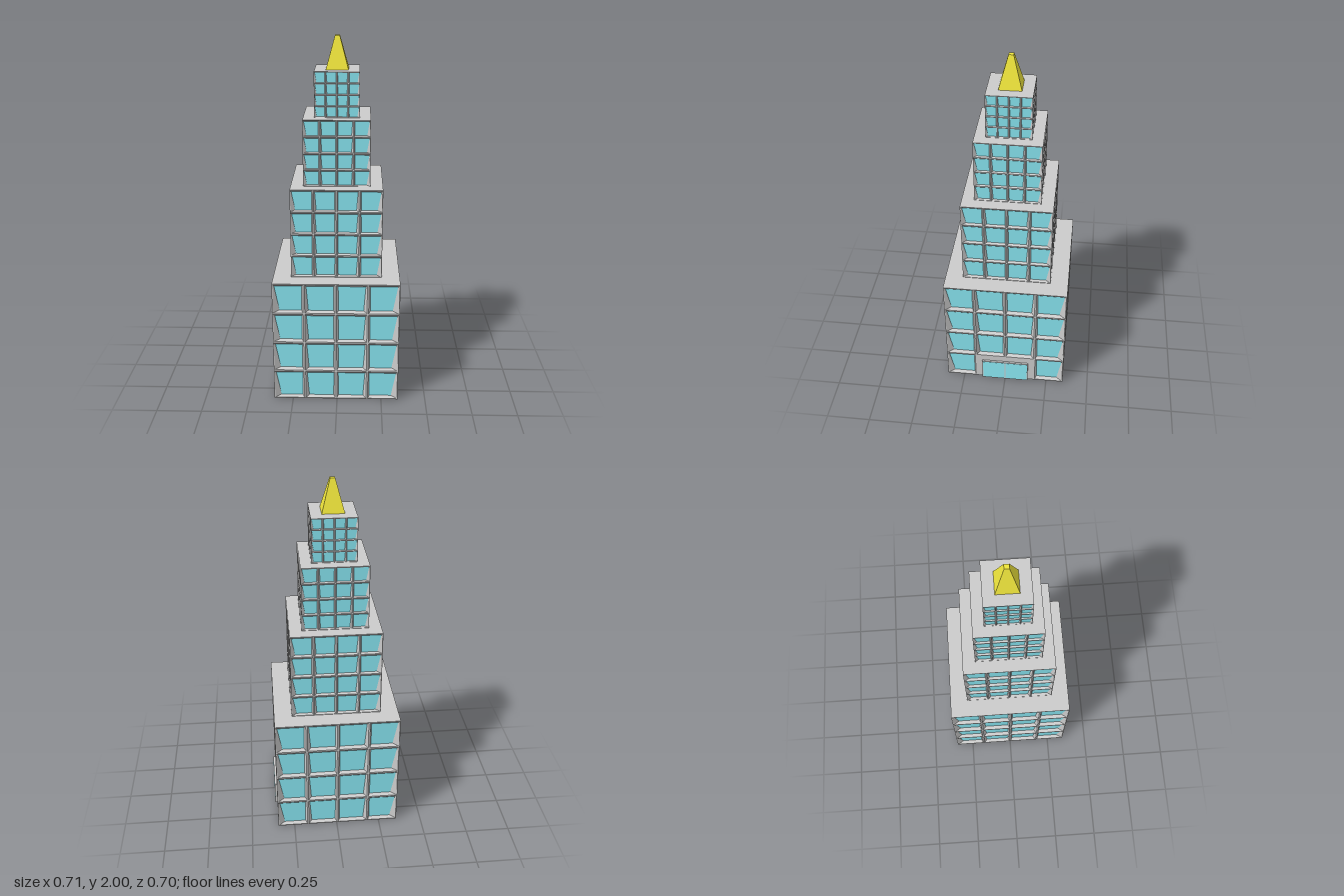
import * as THREE from 'three';

const grey = new THREE.MeshStandardMaterial({ color: 0xcccccc, flatShading: true });
const glass = new THREE.MeshStandardMaterial({ color: 0x8cecf8, flatShading: true });
const gold = new THREE.MeshStandardMaterial({ color: 0xf0e63c, flatShading: true });

const CX = -0.006; // the door projects on one side, so the tower sits slightly off centre
const GRID = 4;    // windows per row and rows per tier

// Corners run counter-clockwise as seen from outside
function pushQuad(list, a, b, c, d) {
  list.push(...a, ...b, ...c, ...a, ...c, ...d);
}

// Quads joining two four-cornered loops
function pushRing(list, outer, inner) {
  for (let i = 0; i < 4; i++) {
    const j = (i + 1) % 4;
    pushQuad(list, outer[i], outer[j], inner[j], inner[i]);
  }
}

function meshFrom(list, material, name) {
  const geometry = new THREE.BufferGeometry();
  geometry.setAttribute('position', new THREE.Float32BufferAttribute(list, 3));
  geometry.computeVertexNormals();
  const mesh = new THREE.Mesh(geometry, material);
  mesh.name = name;
  return mesh;
}

// One facade facing +z: frame bars, bevelled reveals and panes leaning in at the foot
function facade(half, height, hasDoor) {
  const frame = [], panes = [];
  const w = 2 * half / GRID, h = height / GRID;
  for (let row = 0; row < GRID; row++) {
    for (let col = 0; col < GRID; col++) {
      const x0 = -half + col * w, y0 = row * h;
      const corner = (u, v, depth) => [x0 + u * w, y0 + v * h, half - depth * w];
      const cell = [corner(0, 0, 0), corner(1, 0, 0), corner(1, 1, 0), corner(0, 1, 0)];
      if (hasDoor && row === 0 && (col === 1 || col === 2)) {
        pushQuad(frame, ...cell);
        continue;
      }
      // The foot of each pane narrows on the side nearer the building corner
      const outer = col === 0 || col === GRID - 1 ? 0.22 : 0.13;
      const [left, right] = col < GRID / 2 ? [outer, 0.08] : [0.08, outer];
      const e = 0.025;
      const bar = [corner(e, e, 0), corner(1 - e, e, 0), corner(1 - e, 1 - e, 0), corner(e, 1 - e, 0)];
      const pane = [
        corner(left, 0.07, 0.12), corner(1 - right, 0.07, 0.12),
        corner(1 - 0.07, 0.91, 0.06), corner(0.07, 0.91, 0.06)
      ];
      pushRing(frame, cell, bar);
      pushRing(frame, bar, pane);
      pushQuad(panes, ...pane);
    }
  }
  const group = new THREE.Group();
  group.name = 'facade';
  group.add(meshFrom(frame, grey, 'windowFrames'), meshFrom(panes, glass, 'windowPanes'));
  return group;
}

function tier(half, bottom, top, hasDoor) {
  const group = new THREE.Group();
  group.name = 'tier';
  const height = top - bottom;
  for (let k = 0; k < 4; k++) {
    const side = facade(half, height, hasDoor && k === 1);
    side.rotation.y = k * Math.PI / 2;
    group.add(side);
  }
  // Roof terrace and underside
  for (const [name, y, turn] of [['roof', height, -1], ['underside', 0, 1]]) {
    const slab = new THREE.Mesh(new THREE.PlaneGeometry(2 * half, 2 * half), grey);
    slab.name = name;
    slab.rotation.x = turn * Math.PI / 2;
    slab.position.y = y;
    group.add(slab);
  }
  group.position.set(CX, bottom, 0);
  return group;
}

function box(w, h, d, x, y, z, material, name) {
  const mesh = new THREE.Mesh(new THREE.BoxGeometry(w, h, d), material);
  mesh.position.set(x, y, z);
  mesh.name = name;
  return mesh;
}

export function createModel() {
  const model = new THREE.Group();
  model.name = 'tower';

  // Stepped tiers: half width, bottom, top
  [[0.351, 0, 0.71], [0.251, 0.71, 1.215], [0.182, 1.215, 1.58], [0.122, 1.58, 1.825]]
    .forEach(([half, bottom, top], i) => model.add(tier(half, bottom, top, i === 0)));

  // Double door on the +x side
  const door = new THREE.Group();
  door.name = 'door';
  door.add(box(0.015, 0.14, 0.276, 0.3485, 0.07, 0, grey, 'doorFrame'));
  for (const s of [-1, 1]) {
    door.add(box(0.004, 0.13, 0.13, 0.355, 0.07, s * 0.068, glass, 'doorPane'));
  }
  model.add(door);

  // Square tapered spire
  const spireGeometry = new THREE.CylinderGeometry(0.013 * Math.SQRT2, 0.061 * Math.SQRT2, 0.175, 4);
  spireGeometry.rotateY(Math.PI / 4);
  const spire = new THREE.Mesh(spireGeometry, gold);
  spire.name = 'spire';
  spire.position.set(CX, 1.9125, 0);
  model.add(spire);

  return model;
}
